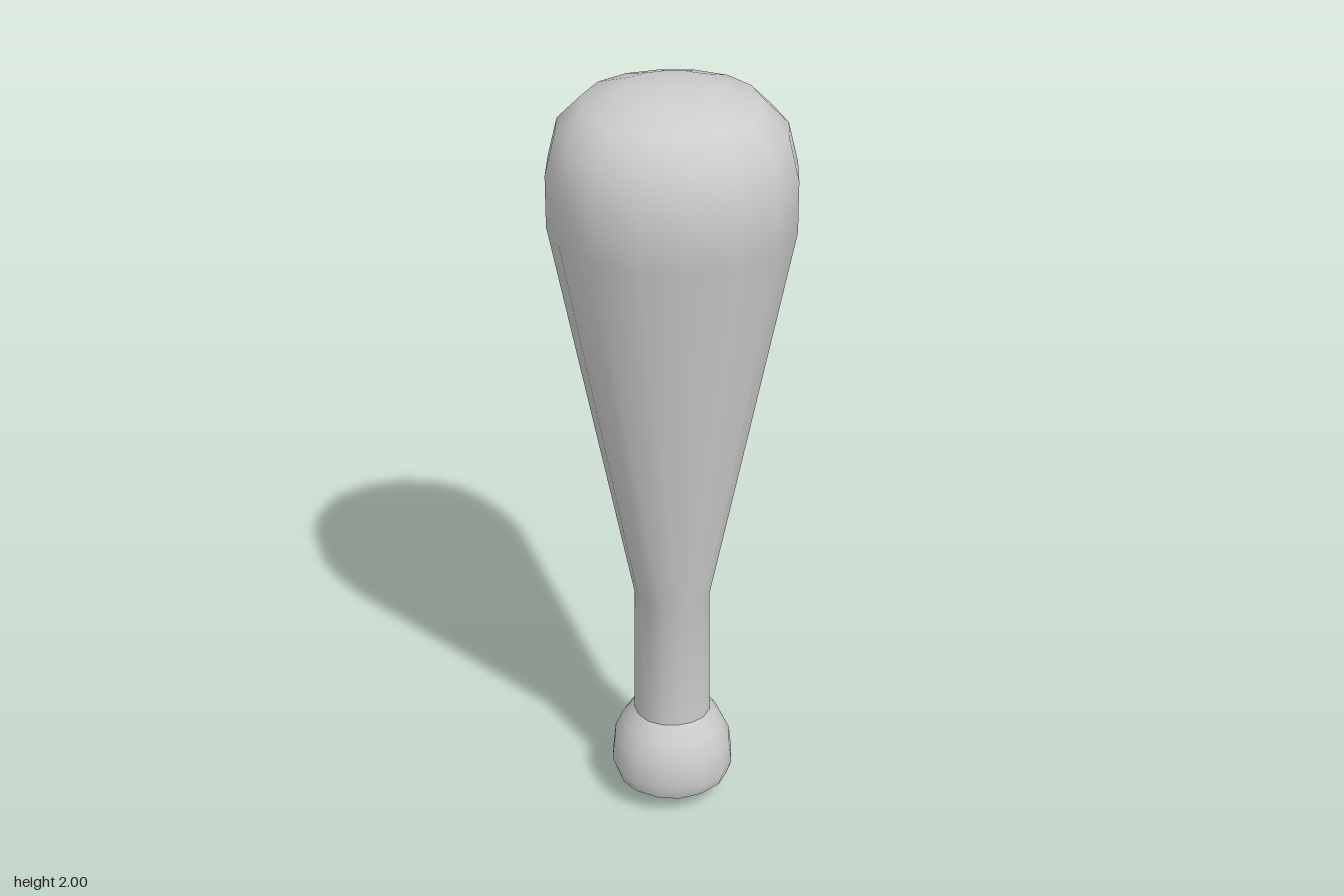
import * as THREE from 'three';
import { mergeVertices } from 'three/addons/utils/BufferGeometryUtils.js';

const RIM_Y = 0.055; // height of the crease under the knob

// 16-sided turned part, slightly squared towards its diagonals
function turned(name, profile, material) {
  const points = profile.map(([r, y]) => new THREE.Vector2(r, y));
  let geometry = new THREE.LatheGeometry(points, 16);
  const p = geometry.attributes.position;
  for (let i = 0; i < p.count; i++) {
    const x = p.getX(i), y = p.getY(i), z = p.getZ(i);
    const diagonal = Math.sin(2 * Math.atan2(x, z)) ** 2;
    const onRim = Math.abs(y - RIM_Y) < 1e-4;
    const k = 1 + (onRim ? 0.08 : 0.03) * diagonal;
    p.setXYZ(i, x * k, y + (onRim ? 0.011 * diagonal : 0), z * k);
  }
  // weld the seam and poles so the shading stays smooth
  geometry.deleteAttribute('uv');
  geometry.deleteAttribute('normal');
  geometry = mergeVertices(geometry, 1e-4);
  geometry.computeVertexNormals();
  const mesh = new THREE.Mesh(geometry, material);
  mesh.name = name;
  return mesh;
}

export function createModel() {
  const group = new THREE.Group();
  group.name = 'club';
  const grey = new THREE.MeshStandardMaterial({ color: 0xcccccc });
  grey.name = 'light grey';

  // grip, tapered body and domed head
  group.add(turned('body', [
    [0.1, 0.262], [0.097, 0.62], [0.3, 1.66], [0.3, 1.79],
    [0.276, 1.89], [0.213, 1.955], [0.12, 1.988], [0, 2],
  ], grey));

  // rounded pommel, creased against the grip and the base
  group.add(turned('knob', [
    [0.143, RIM_Y], [0.16, 0.1], [0.153, 0.17], [0.13, 0.22], [0.1, 0.262],
  ], grey));

  // shallow base of the pommel
  group.add(turned('knobBase', [
    [0, 0], [0.08, 0.018], [0.143, RIM_Y],
  ], grey));

  return group;
}
